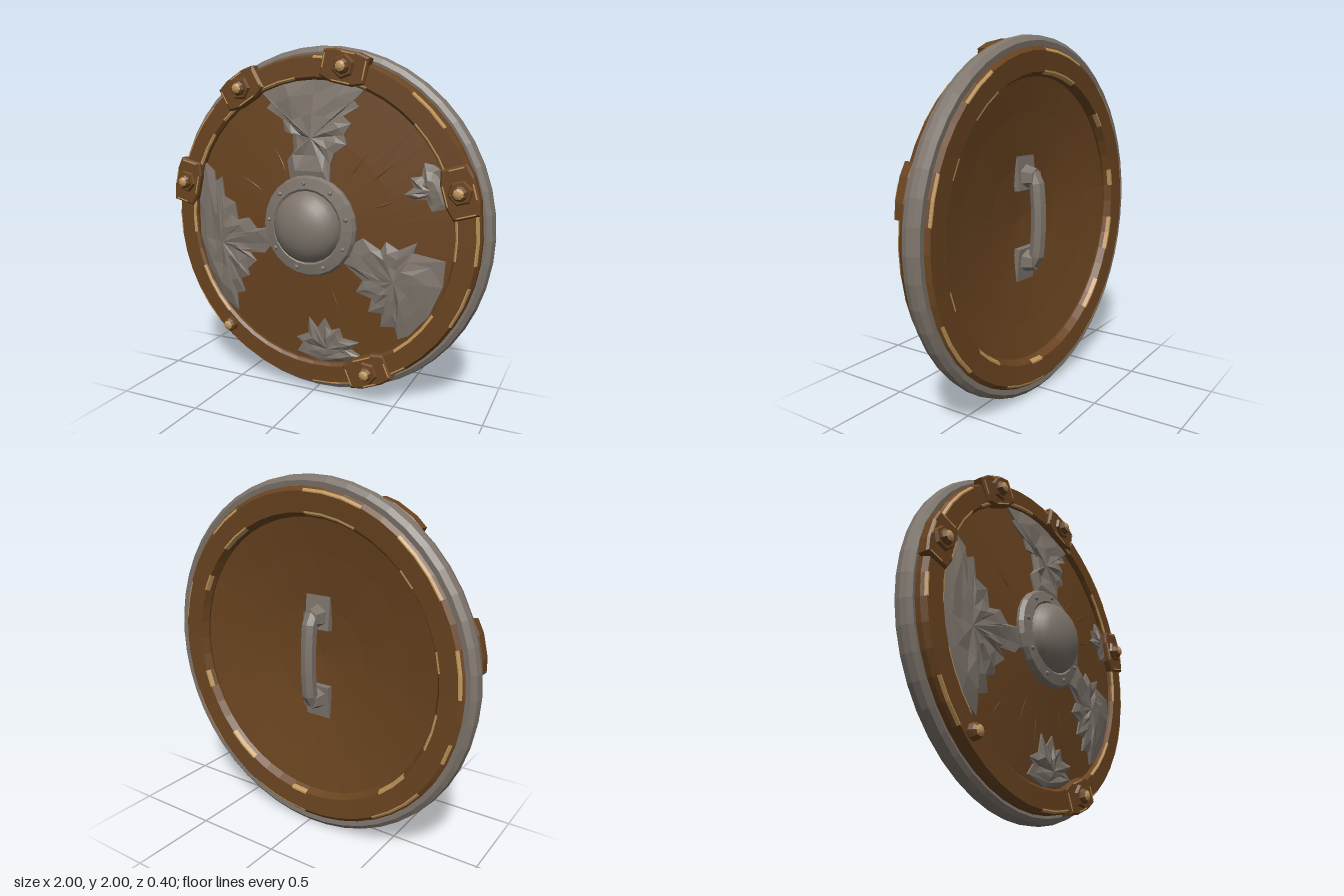
import * as THREE from 'three';
import { toCreasedNormals } from 'three/addons/utils/BufferGeometryUtils.js';

const mat = (name, color) => Object.assign(new THREE.MeshStandardMaterial({ color }), { name });

// small seeded random
let seed = 7;
const rnd = () => (seed = (seed * 16807) % 2147483647) / 2147483647;

const SEG = 48, STEP = (Math.PI * 2) / SEG;
const face = (r) => 0.065 - 0.1 * r; // front surface of the domed board

// faceted normals
function flat(geo) {
  const g = geo.index ? geo.toNonIndexed() : geo;
  g.computeVertexNormals();
  return g;
}

// profile of [radius, z] pairs turned about the z axis
function turn(profile, segs = SEG, start = 0, length = Math.PI * 2) {
  const g = new THREE.LatheGeometry(profile.map(([r, z]) => new THREE.Vector2(r, z)), segs, start, length);
  return g.rotateX(Math.PI / 2);
}

// crumpled sheet: outline fanned towards its middle, following the board
function patchGeometry(outline, [cx, cy]) {
  const n = outline.length, pos = [], idx = [];
  const layers = [[1, -0.012], [1, 0.01], [0.72, 0.02], [0.38, 0.022], [0, 0.024]];
  for (const [s, lift] of layers)
    for (const [px, py] of outline) {
      const x = cx + (px - cx) * s, y = cy + (py - cy) * s - 1;
      const rough = s === 1 || s === 0 ? 0 : (rnd() - 0.5) * 0.022;
      pos.push(x, y, face(Math.hypot(x, y)) + lift + rough);
    }
  for (let l = 0; l < layers.length - 1; l++)
    for (let i = 0; i < n; i++) {
      const a = l * n + i, b = l * n + ((i + 1) % n);
      idx.push(a, a + n, b, b, a + n, b + n);
    }
  const g = new THREE.BufferGeometry();
  g.setAttribute('position', new THREE.Float32BufferAttribute(pos, 3));
  g.setIndex(idx);
  return flat(g);
}

// outlines run clockwise, each with its middle point
const patches = {
  topPatch: [[0, 1.5], [[-0.34, 1.75], [-0.2, 1.81], [0, 1.83], [0.2, 1.81], [0.31, 1.77], [0.24, 1.7], [0.27, 1.67], [0.18, 1.62],
    [0.23, 1.58], [0.19, 1.52], [0.21, 1.47], [0.14, 1.42], [0.12, 1.36], [0.12, 1.25], [-0.12, 1.25], [-0.15, 1.37],
    [-0.11, 1.42], [-0.12, 1.53], [-0.17, 1.53], [-0.19, 1.6], [-0.3, 1.66], [-0.27, 1.69]]],
  leftPatch: [[-0.62, 0.85], [[-0.8, 1.1], [-0.75, 1.33], [-0.68, 1.28], [-0.67, 1.22], [-0.62, 1.25], [-0.6, 1.13], [-0.52, 1.1],
    [-0.5, 1], [-0.42, 1.02], [-0.36, 0.96], [-0.25, 0.98], [-0.25, 0.88], [-0.3, 0.82], [-0.42, 0.81], [-0.37, 0.76],
    [-0.44, 0.7], [-0.43, 0.66], [-0.5, 0.63], [-0.47, 0.55], [-0.53, 0.53], [-0.53, 0.42], [-0.64, 0.49], [-0.74, 0.67], [-0.8, 0.87]]],
  rightPatch: [[0.5, 0.74], [[0.24, 0.92], [0.32, 0.97], [0.42, 0.91], [0.45, 0.96], [0.52, 0.92], [0.62, 0.97], [0.6, 0.91], [0.77, 0.88],
    [0.76, 0.74], [0.69, 0.57], [0.58, 0.44], [0.52, 0.41], [0.5, 0.48], [0.42, 0.47], [0.43, 0.55], [0.35, 0.55],
    [0.37, 0.63], [0.28, 0.66], [0.32, 0.73], [0.21, 0.82]]],
  bottomPatch: [[0.1, 0.28], [[-0.11, 0.23], [-0.07, 0.29], [-0.11, 0.32], [-0.03, 0.36], [-0.02, 0.46], [0.03, 0.4], [0.08, 0.47],
    [0.12, 0.4], [0.17, 0.42], [0.19, 0.36], [0.29, 0.35], [0.24, 0.3], [0.31, 0.26], [0.2, 0.22], [0.05, 0.19]]],
  smallPatch: [[0.68, 1.25], [[0.54, 1.22], [0.59, 1.26], [0.57, 1.31], [0.63, 1.32], [0.64, 1.39], [0.69, 1.38], [0.72, 1.36],
    [0.78, 1.25], [0.77, 1.16], [0.69, 1.14], [0.66, 1.2], [0.6, 1.2]]],
};

export function createModel() {
  seed = 7;
  const wood = mat('brown wood', 0x6a4420);
  const metal = mat('grey metal', 0x7e756c);
  const worn = mat('worn tan edge', 0xbe955a);
  metal.side = worn.side = THREE.DoubleSide;

  const model = new THREE.Group();
  model.name = 'roundShield';
  const shield = new THREE.Group();
  shield.name = 'shieldBody';
  shield.position.y = 1;
  shield.rotation.y = -0.03;
  model.add(shield);
  const add = (name, geo, material, parent = shield) => {
    const m = new THREE.Mesh(geo, material);
    m.name = name;
    parent.add(m);
    return m;
  };

  // domed board, hollow at the back
  add('board', flat(turn([[0, 0], [0.3, -0.025], [0.6, -0.07], [0.84, -0.115], [0.84, face(0.84)], [0.5, face(0.5)], [0, face(0)]])), wood);

  // wooden hoop, front and back
  add('hoop', flat(turn([[0.81, -0.06], [0.785, -0.12], [0.81, -0.16], [0.92, -0.17], [0.95, -0.145], [0.95, -0.02],
    [0.935, 0.012], [0.83, 0.015], [0.815, 0], [0.81, -0.06]])), wood);

  // metal band round the outside
  add('outerBand', flat(turn([[0.93, -0.15], [0.97, -0.155], [0.995, -0.135], [1, -0.1], [0.99, -0.065],
    [0.965, -0.05], [0.93, -0.055], [0.93, -0.15]])), metal);

  // broken worn strips along the hoop edges
  const edges = [
    [[0.943, 0.0], [0.935, 0.0145], [0.928, 0.0145]],
    [[0.836, 0.017], [0.829, 0.017], [0.82, 0.009]],
    [[0.796, -0.141], [0.808, -0.162], [0.818, -0.163]],
    [[0.915, -0.172], [0.921, -0.172], [0.932, -0.163]],
  ];
  edges.forEach((profile, e) => {
    for (let k = Math.floor(rnd() * 3); k < SEG - 3;) {
      const n = 1 + Math.floor(rnd() * 3);
      const back = e > 1;
      add('wornEdge', flat(turn(profile, n, k * STEP, n * STEP)), worn);
      k += n + 1 + Math.floor(rnd() * (back ? 5 : 3));
    }
  });

  // crumpled metal patches
  for (const [name, [middle, outline]] of Object.entries(patches)) add(name, patchGeometry(outline, middle), metal);

  // raised splinters on the board
  for (const [deg, r, len] of [[38, 0.5, 0.3], [52, 0.42, 0.28], [20, 0.45, 0.22], [118, 0.4, 0.2], [150, 0.42, 0.22],
    [247, 0.45, 0.3], [262, 0.5, 0.25], [290, 0.42, 0.2], [232, 0.62, 0.2]]) {
    const a = THREE.MathUtils.degToRad(deg);
    const s = add('splinter', flat(new THREE.ConeGeometry(0.014, len, 4)), wood);
    s.position.set(Math.cos(a) * r, Math.sin(a) * r, face(r));
    s.rotation.z = a - Math.PI / 2;
    s.scale.z = 0.5;
  }

  // bolts with brackets round the hoop
  const bolts = [[0.19, 1.88], [-0.46, 1.77], [-0.87, 1.21], [0.84, 1.25], [0.35, 0.19], [-0.57, 0.33]];
  bolts.forEach(([x, y], i) => {
    const bolt = new THREE.Group();
    bolt.name = 'bolt';
    bolt.position.set(x, y - 1, 0);
    bolt.rotation.z = Math.atan2(y - 1, x) - Math.PI / 2;
    shield.add(bolt);
    const flush = i === 5;
    if (!flush) {
      const pts = [[-0.125, -0.065], [-0.06, -0.085], [0.06, -0.085], [0.125, -0.065],
        [0.125, 0.06], [0.06, 0.075], [-0.06, 0.075], [-0.125, 0.06]];
      const shape = new THREE.Shape(pts.map((p) => new THREE.Vector2(...p)));
      const plate = new THREE.ExtrudeGeometry(shape, { depth: 0.05, bevelSize: 0.01, bevelThickness: 0.01, bevelSegments: 1 });
      add('bracket', flat(plate.translate(0, 0, -0.03)), wood, bolt);
      for (const [bx, by, w, h] of [[0, -0.082, 0.11, 0.007], [0.122, 0, 0.007, 0.1], [-0.122, 0.01, 0.007, 0.08], [0.01, 0.073, 0.08, 0.007]])
        add('bracketWear', new THREE.BoxGeometry(w, h, 0.005).translate(bx, by, 0.03), worn, bolt);
      add('boltSeat', flat(new THREE.CylinderGeometry(0.058, 0.072, 0.02, 6).rotateX(Math.PI / 2).translate(0, 0, 0.035)), wood, bolt);
    }
    const z = flush ? 0.02 : 0.035;
    add('boltHead', flat(new THREE.SphereGeometry(0.046, 8, 6).rotateX(Math.PI / 2).translate(0, 0, z)), wood, bolt);
    add('boltWear', flat(new THREE.SphereGeometry(0.048, 8, 2, 0, Math.PI * 2, 0, 0.65).rotateX(Math.PI / 2).translate(0, 0, z)), worn, bolt);
  });

  // central boss: flange, dome and small rivets
  const boss = new THREE.Group();
  boss.name = 'boss';
  boss.position.y = 0.01;
  shield.add(boss);
  add('bossFlange', flat(turn([[0.28, 0], [0.288, 0.055], [0.275, 0.078], [0.215, 0.09], [0.2, 0.08]], 24)), metal, boss);
  const dome = [];
  for (let i = 0; i <= 6; i++) {
    const a = (i / 6) * Math.PI / 2;
    dome.push([0.205 * Math.cos(a), 0.075 + 0.125 * Math.sin(a)]);
  }
  add('bossDome', toCreasedNormals(turn(dome, 24), 0.6), metal, boss);
  for (let i = 0; i < 9; i++) {
    const a = (i / 9) * Math.PI * 2 + 0.25;
    add('bossRivet', flat(new THREE.IcosahedronGeometry(0.014, 0)), metal, boss)
      .position.set(Math.cos(a) * 0.245, Math.sin(a) * 0.245, 0.086);
  }

  // hand grip on the back
  const grip = new THREE.Group();
  grip.name = 'grip';
  shield.add(grip);
  for (const s of [1, -1]) {
    const plate = add('gripPlate', flat(new THREE.BoxGeometry(0.16, 0.19, 0.035)), metal, grip);
    plate.position.set(0, s * 0.26, -0.03);
    plate.rotation.x = s * 0.09;
    const foot = add('gripFoot', flat(new THREE.CylinderGeometry(0.05, 0.07, 0.08, 6).rotateX(-Math.PI / 2)), metal, grip);
    foot.position.set(0, s * 0.24, -0.075);
  }
  const path = new THREE.CatmullRomCurve3([[0.25, -0.06], [0.235, -0.105], [0.12, -0.125], [0, -0.13], [-0.12, -0.125], [-0.235, -0.105], [-0.25, -0.06]]
    .map(([y, z]) => new THREE.Vector3(0, y, z)));
  add('gripBar', flat(new THREE.TubeGeometry(path, 14, 0.043, 7)), metal, grip);

  return model;
}
